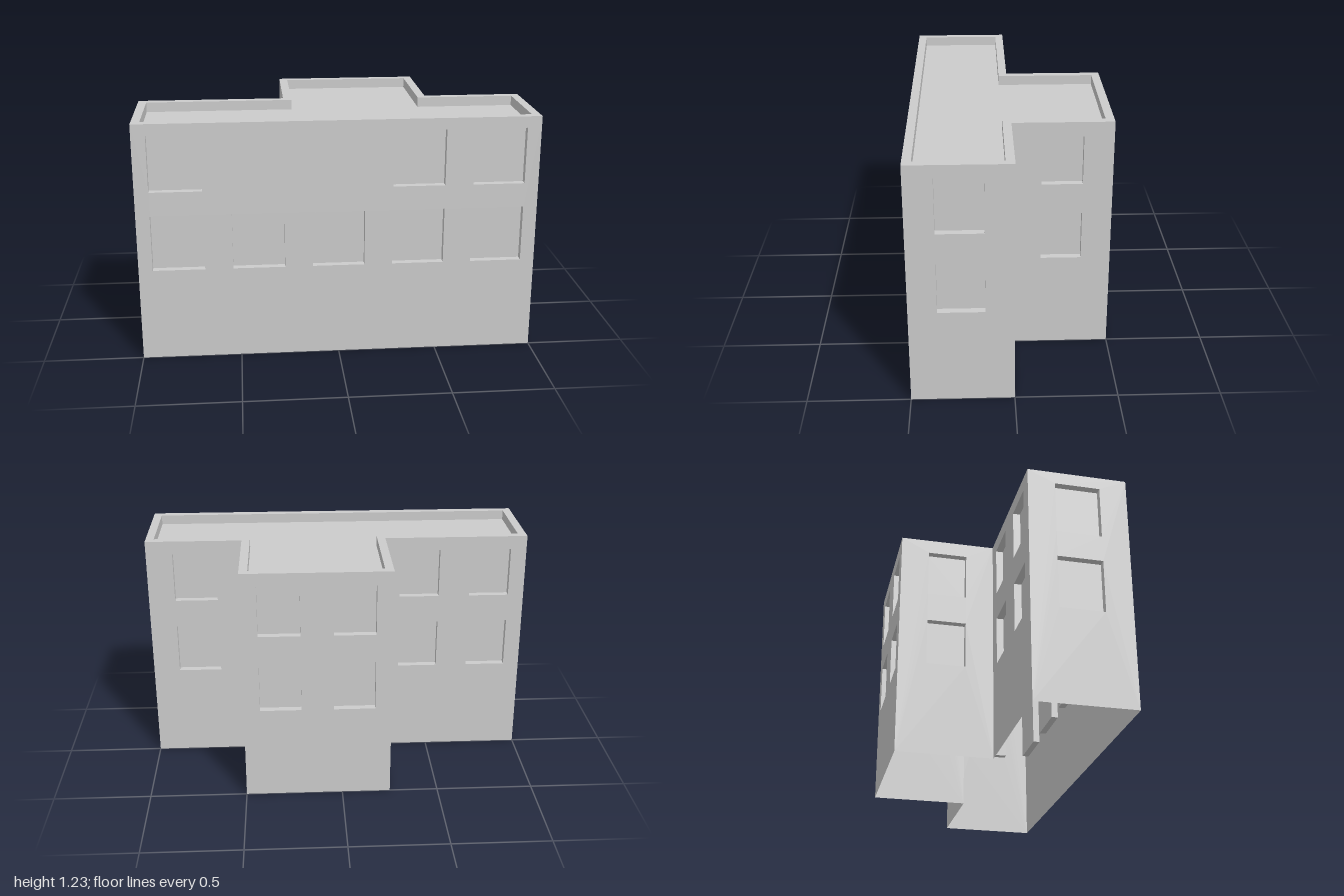
import * as THREE from 'three';

const HEIGHT = 1.225, PARAPET = 0.043, ROOF_DROP = 0.05, RECESS = 0.037;
const FLOORS = [0.617, 1.025]; // window centre heights

// Plan corners (x, z), walked so that each wall's outside is on +z of its own frame
const PLAN = [[-1, 0.5], [1, 0.5], [1, 0], [0.5, 0], [0.5, -0.5], [-0.25, -0.5], [-0.25, 0], [-1, 0]];

// Wall i runs from PLAN[i] to PLAN[i + 1]; at = window centres along it, skip = [floor, column] left blank
const WALLS = [
  { name: 'frontWall', at: [0.2, 0.6, 1, 1.4, 1.8], w: 0.26, h: 0.285, skip: [[1, 1], [1, 2]] },
  { name: 'leftEndWall', at: [0.25], w: 0.225, h: 0.273 },
  { name: 'backLeftWall', at: [0.25], w: 0.225, h: 0.26 },
  { name: 'wingLeftWall', at: [0.25], w: 0.205, h: 0.25 },
  { name: 'wingBackWall', at: [0.1875, 0.5625], w: 0.21, h: 0.26 },
  { name: 'wingRightWall', at: [0.25], w: 0.205, h: 0.25 },
  { name: 'backRightWall', at: [0.1875, 0.5625], w: 0.21, h: 0.26 },
  { name: 'rightEndWall', at: [0.25], w: 0.225, h: 0.273 },
];

const material = new THREE.MeshStandardMaterial({ color: 0xcccccc, side: THREE.DoubleSide });

function mesh(geometry, name) {
  const m = new THREE.Mesh(geometry, material);
  m.name = name;
  return m;
}

const rectangle = (x0, y0, x1, y1) => [
  new THREE.Vector2(x0, y0), new THREE.Vector2(x1, y0), new THREE.Vector2(x1, y1), new THREE.Vector2(x0, y1),
];

// Box seen from inside, with its +z face left out
function recessGeometry(w, h) {
  const box = new THREE.BoxGeometry(w, h, RECESS);
  const index = [...box.index.array];
  index.splice(24, 6);
  box.setIndex(index.reverse());
  const open = box.toNonIndexed();
  open.computeVertexNormals();
  return open;
}

// Flat horizontal sheet from (x, z) corners
function sheet(points, hole) {
  const toVector = ([x, z]) => new THREE.Vector2(x, -z);
  const shape = new THREE.Shape(points.map(toVector));
  if (hole) shape.holes.push(new THREE.Path(hole.map(toVector)));
  return new THREE.ShapeGeometry(shape).rotateX(-Math.PI / 2);
}

// Direction and length of the edge leaving corner i
function edge(points, i) {
  const n = points.length;
  const [ax, az] = points[(i + n) % n], [bx, bz] = points[(i + 1) % n];
  const length = Math.hypot(bx - ax, bz - az);
  return { ax, az, length, dx: (bx - ax) / length, dz: (bz - az) / length };
}

// Group whose x axis runs along the edge and whose z axis points outwards
function edgeFrame(points, i, name) {
  const e = edge(points, i);
  const group = new THREE.Group();
  group.name = name;
  group.position.set(e.ax, 0, e.az);
  group.rotation.y = Math.atan2(-e.dz, e.dx);
  return { group, length: e.length };
}

function buildWall(i) {
  const { name, at, w, h, skip = [] } = WALLS[i];
  const { group, length } = edgeFrame(PLAN, i, name);
  const shape = new THREE.Shape(rectangle(0, 0, length, HEIGHT));
  FLOORS.forEach((y, floor) => at.forEach((x, column) => {
    if (skip.some(([f, c]) => f === floor && c === column)) return;
    shape.holes.push(new THREE.Path(rectangle(x - w / 2, y - h / 2, x + w / 2, y + h / 2)));
    const recess = mesh(recessGeometry(w, h), 'windowRecess');
    recess.position.set(x, y, -RECESS / 2);
    group.add(recess);
  }));
  group.add(mesh(new THREE.ShapeGeometry(shape), 'wallFace'));
  return group;
}

export function createModel() {
  const model = new THREE.Group();
  model.name = 'building';

  // Outer walls with recessed windows
  PLAN.forEach((_, i) => model.add(buildWall(i)));

  // Plan inset by the parapet thickness
  const inner = PLAN.map(([x, z], i) => {
    const a = edge(PLAN, i - 1), b = edge(PLAN, i);
    return [x + (a.dz + b.dz) * PARAPET, z - (a.dx + b.dx) * PARAPET];
  });

  // Parapet top
  const rim = mesh(sheet(PLAN, inner), 'parapetTop');
  rim.position.y = HEIGHT;
  model.add(rim);

  // Parapet inner faces
  inner.forEach((_, i) => {
    const { group, length } = edgeFrame(inner, i, 'parapetInside');
    const face = mesh(new THREE.PlaneGeometry(length, ROOF_DROP), 'parapetInnerFace');
    face.position.set(length / 2, HEIGHT - ROOF_DROP / 2, 0);
    face.rotation.y = Math.PI;
    group.add(face);
    model.add(group);
  });

  // Sunken flat roof
  const roof = mesh(sheet(inner), 'roof');
  roof.position.y = HEIGHT - ROOF_DROP;
  model.add(roof);

  return model;
}
